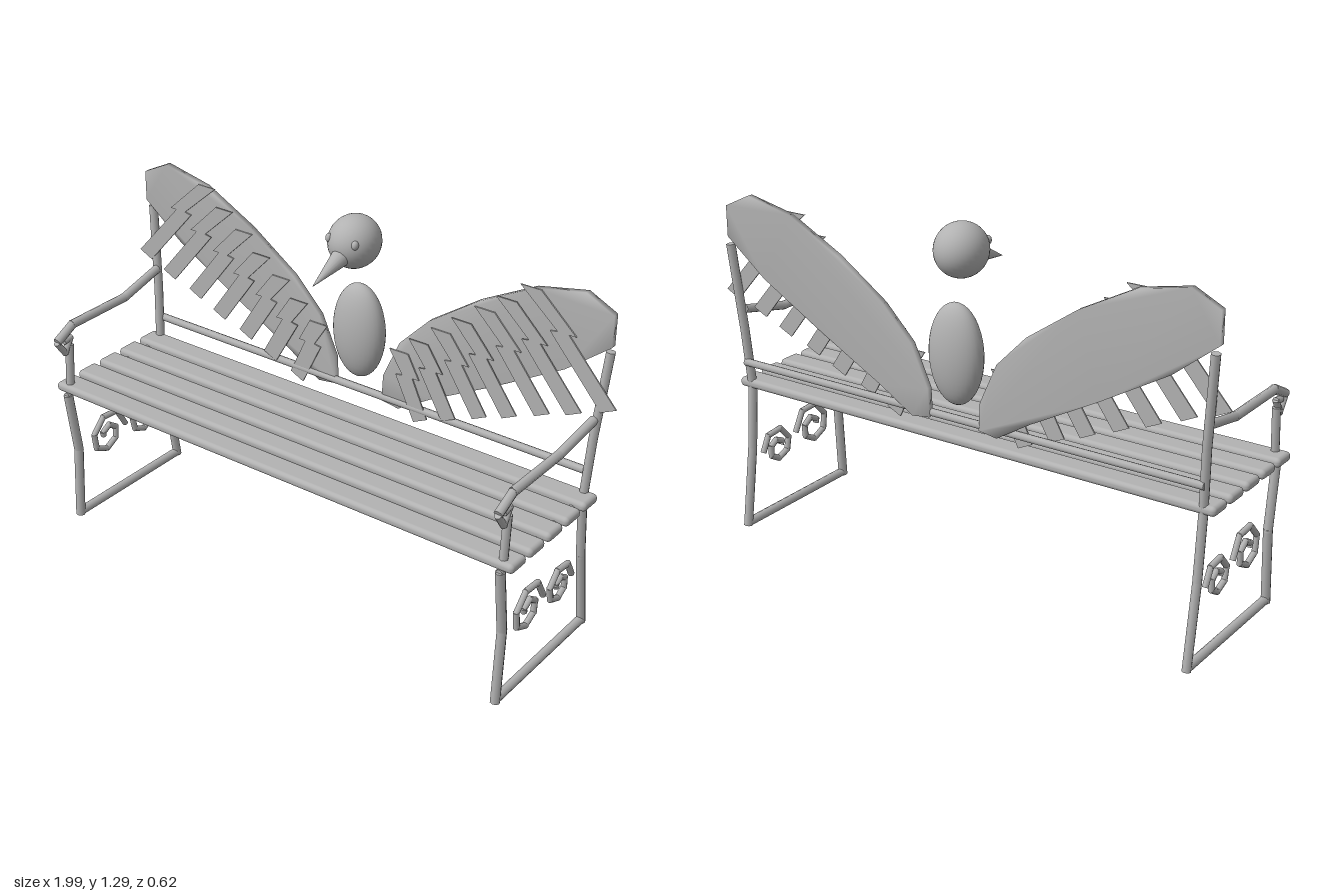
import * as THREE from 'three';
import { mergeVertices } from 'three/addons/utils/BufferGeometryUtils.js';
import { RoundedBoxGeometry } from 'three/addons/geometries/RoundedBoxGeometry.js';

export function createModel() {
  const root = new THREE.Group();
  const metal = new THREE.MeshStandardMaterial({ color: 0xb2b2b2 });
  metal.name = 'grey metal';

  const add = (parent, name, geometry, x = 0, y = 0, z = 0) => {
    const mesh = new THREE.Mesh(geometry, metal);
    mesh.name = name;
    mesh.position.set(x, y, z);
    parent.add(mesh);
    return mesh;
  };

  // Straight round bar, optionally tapered, between two points
  const bar = (parent, name, a, b, r, rEnd = r, sides = 8) => {
    const dir = b.clone().sub(a);
    const mesh = add(parent, name, new THREE.CylinderGeometry(rEnd, r, dir.length(), sides));
    mesh.position.copy(a).add(b).multiplyScalar(0.5);
    mesh.quaternion.setFromUnitVectors(new THREE.Vector3(0, 1, 0), dir.normalize());
    return mesh;
  };

  // Bent rod through [z, y, x] points, each piece slightly overlapping the next
  const rod = (parent, name, points, r, x) => {
    const group = new THREE.Group();
    group.name = name;
    parent.add(group);
    const v = points.map(p => new THREE.Vector3(p[2] === undefined ? x : p[2] * Math.sign(x), p[1], p[0]));
    for (let i = 0; i < v.length - 1; i++) {
      const d = v[i + 1].clone().sub(v[i]).normalize().multiplyScalar(r * 0.35);
      const a = v[i].clone(), b = v[i + 1].clone();
      if (i > 0) a.sub(d);
      if (i < v.length - 2) b.add(d);
      bar(group, name + 'Piece', a, b, r);
    }
  };

  // Seat slats
  for (let i = 0; i < 5; i++) {
    add(root, 'seatSlat', new RoundedBoxGeometry(1.915, 0.034, 0.088, 3, 0.015), 0, 0.544, 0.233 - i * 0.109);
  }

  // Low rail behind the seat
  bar(root, 'backRail', new THREE.Vector3(-0.92, 0.628, -0.248), new THREE.Vector3(0.92, 0.628, -0.248), 0.014);

  // Scroll ornaments, from outer end to centre
  const scrolls = [
    [[-0.014, 0.274], [0.027, 0.347], [0.1, 0.352], [0.152, 0.298], [0.144, 0.238], [0.09, 0.214],
      [0.041, 0.24], [0.038, 0.284], [0.072, 0.307], [0.106, 0.288], [0.103, 0.274]],
    [[-0.195, 0.257], [-0.164, 0.315], [-0.099, 0.322], [-0.055, 0.274], [-0.065, 0.226], [-0.113, 0.207],
      [-0.151, 0.229], [-0.151, 0.267], [-0.123, 0.284], [-0.092, 0.27], [-0.099, 0.257]],
  ];

  // End frames with legs, armrest and scrolls
  for (const s of [-1, 1]) {
    const x = s * 0.91;
    const frame = new THREE.Group();
    frame.name = s > 0 ? 'leftFrame' : 'rightFrame';
    root.add(frame);
    rod(frame, 'frontLeg', [[0.267, 0.52], [0.235, 0.28], [0.25, 0.006]], 0.017, x);
    rod(frame, 'backPost', [[-0.295, 0.006], [-0.25, 0.3], [-0.23, 0.53], [-0.245, 0.75, 0.92], [-0.265, 1.065, 0.945]], 0.016, x);
    rod(frame, 'floorBar', [[0.25, 0.017], [-0.295, 0.017]], 0.016, x);
    rod(frame, 'seatBar', [[0.275, 0.519], [-0.235, 0.534]], 0.012, x);
    rod(frame, 'armPost', [[0.253, 0.54], [0.242, 0.715]], 0.015, x);
    rod(frame, 'armrest', [[-0.24, 0.825, 0.92], [-0.05, 0.785], [0.22, 0.785], [0.3, 0.745]], 0.016, x);
    rod(frame, 'armCurl', [[0.302, 0.742], [0.266, 0.69], [0.236, 0.74], [0.27, 0.735]], 0.012, x);
    scrolls.forEach(p => rod(frame, 'scroll', p, 0.011, x));
  }

  // Bird body, head, beak and eyes
  const ball = (name, rx, ry, rz, x, y, z) =>
    add(root, name, new THREE.SphereGeometry(1, 32, 20), x, y, z).scale.set(rx, ry, rz);
  ball('body', 0.102, 0.176, 0.062, 0, 0.855, -0.246);
  ball('head', 0.089, 0.092, 0.097, 0, 1.199, -0.213);
  bar(root, 'beak', new THREE.Vector3(0, 1.167, -0.13), new THREE.Vector3(0, 1.12, 0.016), 0.032, 0.001, 16);
  for (const s of [-1, 1]) ball('eye', 0.012, 0.016, 0.013, s * 0.053, 1.222, -0.142);

  const plate = (points, s, depth) => new THREE.ExtrudeGeometry(
    new THREE.Shape(points.map(p => new THREE.Vector2(p[0] * s, p[1]))), { depth, bevelEnabled: false });

  // Wing outline: top edge from the tip inward, then back along the lower edge
  const outline = [[0.957, 1.2], [0.855, 1.25], [0.674, 1.212], [0.47, 1.105], [0.283, 0.976], [0.17, 0.86],
    [0.105, 0.715], [0.1, 0.615], [0.17, 0.605], [0.3, 0.685], [0.55, 0.82], [0.8, 0.965], [0.957, 1.09]];

  for (const s of [-1, 1]) {
    const wing = new THREE.Group();
    wing.name = s > 0 ? 'leftWing' : 'rightWing';
    root.add(wing);
    let panel = plate(outline, s, 0.022);
    panel.deleteAttribute('normal');
    panel.deleteAttribute('uv');
    panel = mergeVertices(panel, 1e-4);
    panel.computeVertexNormals();
    add(wing, 'wingPanel', panel, 0, 0, -0.265);

    // Seven stepped feathers, from the tip inward
    for (let i = 0; i < 7; i++) {
      const t = i / 6, mix = (a, b) => a + (b - a) * t;
      const tx = mix(0.663, 0.17), ty = mix(1.215, 0.83);
      const px = mix(0.968, 0.265), py = mix(0.872, 0.592);
      const mx = tx + (px - tx) * 0.42, my = ty + (py - ty) * 0.36;
      const feather = [[tx - 0.038, ty], [tx + 0.038, ty], [mx + 0.045, my], [mx + 0.018, my],
        [px + 0.027, py + 0.013], [px - 0.027, py - 0.013], [mx - 0.05, my - 0.005], [mx - 0.022, my]];
      add(wing, 'feather', plate(feather, s, 0.005), 0, 0, -0.242 + (i % 2) * 0.006);
    }
  }
  return root;
}
